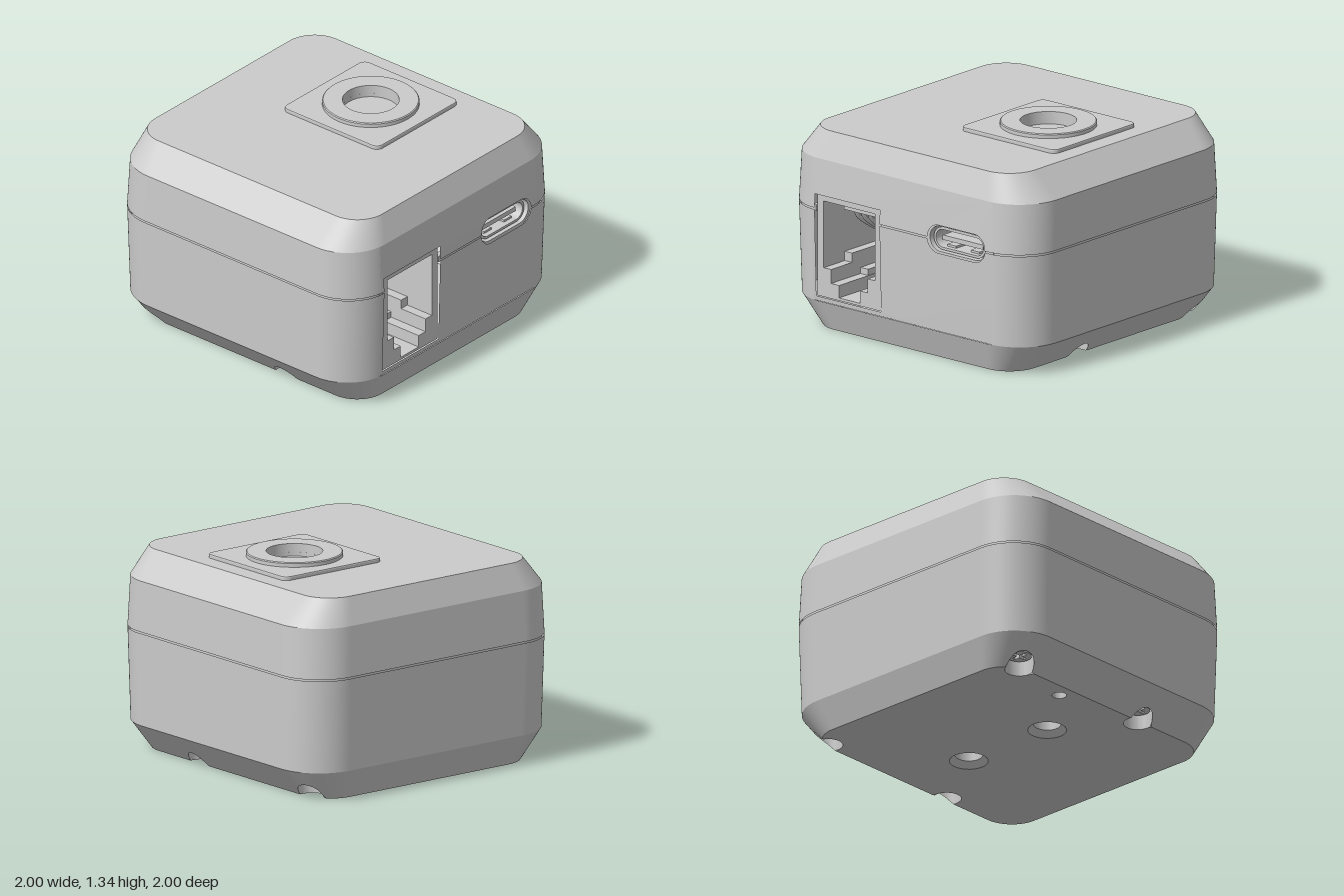
import * as THREE from 'three';
import { toCreasedNormals } from 'three/addons/utils/BufferGeometryUtils.js';

const mat = new THREE.MeshStandardMaterial({ color: 0xcccccc, side: THREE.DoubleSide });
const V2 = (x, y) => new THREE.Vector2(x, y);

// Case cross-sections: height, half width, half depth, corner radius
const SECTIONS = [
  [0, 0.91, 0.83, 0.2], [0.19, 0.983, 0.99, 0.3], [0.78, 1, 1, 0.3],
  [0.79, 1, 1, 0.3], [1.11, 0.985, 0.99, 0.3], [1.28, 0.92, 0.84, 0.2],
];
const ARC = 24, EDGE = 120, SIDE = ARC + EDGE;

function section(y) {
  let i = 0;
  while (i < SECTIONS.length - 2 && y > SECTIONS[i + 1][0]) i++;
  const a = SECTIONS[i], b = SECTIONS[i + 1], t = (y - a[0]) / (b[0] - a[0]);
  return [1, 2, 3].map((k) => THREE.MathUtils.lerp(a[k], b[k], t));
}

// Rounded rectangle of points at height y, starting on +x and turning towards +z
function loop(y, inset = 0) {
  const [hx, hz, r] = section(y), pts = [];
  const corner = (q, i) => {
    const a = (q + i / ARC) * Math.PI / 2;
    const sx = q === 0 || q === 3 ? 1 : -1, sz = q < 2 ? 1 : -1;
    return new THREE.Vector3(sx * (hx - r) + (r - inset) * Math.cos(a), y, sz * (hz - r) + (r - inset) * Math.sin(a));
  };
  for (let q = 0; q < 4; q++) {
    for (let i = 0; i <= ARC; i++) pts.push(corner(q, i));
    const a = corner(q, ARC), b = corner((q + 1) % 4, 0);
    for (let i = 1; i < EDGE; i++) pts.push(a.clone().lerp(b, i / EDGE));
  }
  return pts;
}
// The same loop left open along the connector side
const openLoop = (y, inset) => loop(y, inset).slice(2, 3 * SIDE + ARC - 1);

function loft(lower, upper, closed) {
  const pos = [], n = lower.length;
  for (let i = 0; i < (closed ? n : n - 1); i++) {
    const j = (i + 1) % n;
    for (const p of [lower[i], upper[i], lower[j], lower[j], upper[i], upper[j]]) pos.push(p.x, p.y, p.z);
  }
  const g = new THREE.BufferGeometry();
  g.setAttribute('position', new THREE.Float32BufferAttribute(pos, 3));
  return toCreasedNormals(g, 0.35);
}

// Screw wells cut the front and back lower chamfers
const WELL_R = 0.09;
const WELLS = [[0.31, 1], [0.31, -1], [-0.76, 1], [-0.76, -1]].map(([x, s]) => ({ x, z: 0.805 * s, s }));
const wellAt = (p) => WELLS.find((w) => Math.hypot(p.x - w.x, p.z - w.z) < WELL_R);

function insideCase(x, y, z) {
  const [hx, hz, r] = section(y);
  const dx = Math.abs(x) - hx + r, dz = Math.abs(z) - hz + r;
  return Math.hypot(Math.max(dx, 0), Math.max(dz, 0)) <= r;
}
function bisect(test, lo, hi) {
  for (let i = 0; i < 20; i++) {
    const m = (lo + hi) / 2;
    if (test(m)) hi = m; else lo = m;
  }
  return hi;
}

function roundRect(hw, hh, r, cx = 0, cy = 0, Type = THREE.Shape) {
  const s = new Type();
  s.absarc(cx + hw - r, cy + hh - r, r, 0, Math.PI / 2);
  s.absarc(cx - hw + r, cy + hh - r, r, Math.PI / 2, Math.PI);
  s.absarc(cx - hw + r, cy - hh + r, r, Math.PI, Math.PI * 1.5);
  s.absarc(cx + hw - r, cy - hh + r, r, Math.PI * 1.5, Math.PI * 2);
  s.closePath();
  return s;
}
const circlePath = (x, y, r) => new THREE.Path().absarc(x, y, r, 0, Math.PI * 2);

export function createModel() {
  const model = new THREE.Group();
  const add = (name, geo, x = 0, y = 0, z = 0, parent = model) => {
    const m = new THREE.Mesh(geo, mat);
    m.name = name;
    m.position.set(x, y, z);
    parent.add(m);
    return m;
  };
  const box = (name, w, h, d, x, y, z, parent) => add(name, new THREE.BoxGeometry(w, h, d), x, y, z, parent);
  // Extrudes a (-z, y) outline inwards from the connector side
  const sideExtrude = (name, shape, front, depth, parent) => add(name,
    new THREE.ExtrudeGeometry(shape, { depth, bevelEnabled: false, curveSegments: 12 }).rotateY(Math.PI / 2), front - depth, 0, 0, parent);

  // Case walls, seam and upper chamfer
  add('lowerWall', loft(openLoop(0.19), openLoop(0.78)));
  add('upperWall', loft(openLoop(0.79), openLoop(1.11)));
  add('seam', loft(openLoop(0.76, 0.015), openLoop(0.81, 0.015)));
  add('upperChamfer', loft(loop(1.11), loop(1.28), true));

  // Lower chamfer, trimmed where the wells break through
  const low = loop(0), high = loop(0.19);
  const trimmed = low.map((p, i) => {
    const w = wellAt(p);
    if (!w) return p;
    const t = bisect((k) => wellAt(p.clone().lerp(high[i], k)) !== w, 0, 1);
    return p.clone().lerp(high[i], t);
  });
  add('lowerChamfer', loft(trimmed, high, true));

  // Base with well notches and holes
  const base = new THREE.Shape(low.map((p) => {
    const w = wellAt(p);
    return V2(p.x, w ? w.z - w.s * Math.sqrt(WELL_R ** 2 - (p.x - w.x) ** 2) : p.z);
  }));
  const baseHoles = [[0, -0.33, 0.12, 0.085], [0, 0.33, 0.12, 0.085], [-0.32, 0.73, 0.045, 0.045]];
  for (const [x, z, rim, bore] of baseHoles) {
    base.holes.push(circlePath(x, z, rim));
    const profile = [V2(rim, 0), V2(bore, 0.04), V2(bore, 0.22), V2(0, 0.22)];
    add('baseHole', toCreasedNormals(new THREE.LatheGeometry(profile, 36), 0.4), x, 0, z);
  }
  add('base', new THREE.ShapeGeometry(base, 18).rotateX(Math.PI / 2));

  // Screws sunk in their wells
  const cross = new THREE.Path();
  for (let i = 0; i < 4; i++) {
    for (const [a, b] of [[0.05, -0.012], [0.05, 0.012], [0.012, 0.012]]) {
      const p = V2(a, b).rotateAround(V2(0, 0), i * Math.PI / 2);
      if (i === 0 && b < 0) cross.moveTo(p.x, p.y); else cross.lineTo(p.x, p.y);
    }
  }
  cross.closePath();
  const head = new THREE.Shape().absarc(0, 0, 0.076, 0, Math.PI * 2);
  head.holes.push(cross);
  for (const w of WELLS) {
    const rim = [], top = [];
    for (let i = 0; i < 48; i++) {
      const a = i / 48 * Math.PI * 2, x = w.x + WELL_R * Math.cos(a), z = w.z + WELL_R * Math.sin(a);
      rim.push(new THREE.Vector3(x, bisect((y) => insideCase(x, y, z), 0, 0.14), z));
      top.push(new THREE.Vector3(x, 0.14, z));
    }
    add('screwWell', loft(rim, top, true));
    add('screwWellEnd', new THREE.CircleGeometry(WELL_R, 32).rotateX(Math.PI / 2), w.x, 0.14, w.z);
    add('screwHead', new THREE.ExtrudeGeometry(head, { depth: 0.05, bevelEnabled: false, curveSegments: 18 })
      .rotateX(Math.PI / 2), w.x, 0.14, w.z);
  }

  // Top plate, raised pad and ring around a shallow bore
  const C = { z: -0.33, r: 0.175 };
  const plate = new THREE.Shape(loop(1.28).map((p) => V2(p.x, -p.z)));
  plate.holes.push(circlePath(0, -C.z, C.r));
  add('topPlate', new THREE.ShapeGeometry(plate, 24).rotateX(-Math.PI / 2), 0, 1.28, 0);
  const pad = roundRect(0.38, 0.38, 0.04);
  pad.holes.push(circlePath(0, 0, 0.2));
  add('pad', new THREE.ExtrudeGeometry(pad, { depth: 0.018, bevelSize: 0.008, bevelThickness: 0.008, bevelSegments: 2, curveSegments: 24 })
    .rotateX(-Math.PI / 2), 0, 1.28, C.z);
  const ring = [V2(0.3, 1.29), V2(0.3, 1.329), V2(0.294, 1.335), V2(C.r, 1.335), V2(C.r, 1.255), V2(0, 1.255)];
  add('topRing', toCreasedNormals(new THREE.LatheGeometry(ring, 64), 0.4), 0, 0, C.z);

  // Connector side, split at the seam, with both openings
  const usb = { u: 0.445, y: 0.79 };
  const sidePanel = (name, outerY, seamY, s, jackY) => {
    const pts = [V2(-0.74, outerY), V2(0.74, outerY), V2(0.74, seamY)];
    for (const [cu, from] of [[usb.u + 0.145, 0], [usb.u - 0.145, 1]]) {
      for (let i = 0; i <= 10; i++) {
        const a = (from + i / 10) * Math.PI / 2;
        const rise = Math.max(0.09 * Math.sin(a), Math.abs(seamY - usb.y));
        pts.push(V2(cu + 0.09 * Math.cos(a), usb.y + s * rise));
      }
    }
    pts.push(V2(-0.18, seamY), V2(-0.18, jackY), V2(-0.71, jackY), V2(-0.71, seamY), V2(-0.74, seamY));
    const g = new THREE.ShapeGeometry(new THREE.Shape(pts)), p = g.attributes.position;
    for (let i = 0; i < p.count; i++) {
      const u = p.getX(i), y = p.getY(i), [hx, hz, r] = section(y);
      const over = Math.max(0, Math.abs(u) - hz + r);
      p.setXYZ(i, hx - r + Math.sqrt(r * r - over * over), y, -u);
    }
    g.computeVertexNormals();
    add(name, g);
  };
  sidePanel('lowerSidePanel', 0.19, 0.78, -1, 0.22);
  sidePanel('upperSidePanel', 1.11, 0.79, 1, 0.88);
  for (const [z0, z1] of [[0.71, 0.74], [-0.21, 0.18], [-0.74, -0.68]])
    box('sideSeam', 0.04, 0.04, z1 - z0, 0.965, 0.785, (z0 + z1) / 2);

  // Modular jack: stepped opening, back wall, latch ledges and four contacts
  const jack = new THREE.Group();
  jack.name = 'jack';
  model.add(jack);
  const jz = 0.445, steps = [[0.21, 0.84], [0.21, 0.41], [0.15, 0.41], [0.15, 0.32], [0.085, 0.32], [0.085, 0.24]];
  const frame = roundRect(0.262, 0.327, 0.008, -jz, 0.55);
  frame.holes.push(new THREE.Path([
    ...steps.map(([d, y]) => V2(-jz - d, y)),
    ...steps.slice().reverse().map(([d, y]) => V2(-jz + d, y)),
  ]));
  sideExtrude('jackFrame', frame, 0.978, 0.6, jack);
  box('jackBack', 0.02, 0.66, 0.52, 0.37, 0.55, jz, jack);
  box('contactBlock', 0.45, 0.07, 0.3, 0.63, 0.805, jz, jack);
  for (const s of [-1, 1]) {
    box('jackLedge', 0.4, 0.06, 0.06, 0.58, 0.44, jz + s * 0.18, jack);
    box('latchStop', 0.3, 0.04, 0.06, 0.55, 0.34, jz + s * 0.12, jack);
  }
  for (let i = 0; i < 4; i++) {
    const z = jz + (i - 1.5) * 0.055;
    const path = new THREE.CatmullRomCurve3([[0.82, 0.77], [0.8, 0.73], [0.6, 0.6], [0.4, 0.51]]
      .map(([x, y]) => new THREE.Vector3(x, y, z)));
    add('contact', new THREE.TubeGeometry(path, 16, 0.014, 8), 0, 0, 0, jack);
  }

  // Power port: opening lining, metal shell, tongue and springs
  const port = new THREE.Group();
  port.name = 'powerPort';
  model.add(port);
  const tube = (name, hw, hh, t, front, depth) => {
    const s = roundRect(hw, hh, hh, usb.u, usb.y);
    s.holes.push(roundRect(hw - t, hh - t, hh - t, usb.u, usb.y, THREE.Path));
    sideExtrude(name, s, front, depth, port);
  };
  tube('portLining', 0.25, 0.105, 0.024, 0.984, 0.2);
  tube('portShell', 0.21, 0.073, 0.016, 0.965, 0.3);
  box('portBack', 0.02, 0.2, 0.5, 0.7, usb.y, -usb.u, port);
  box('portTongue', 0.23, 0.03, 0.33, 0.82, usb.y - 0.005, -usb.u, port);
  for (const s of [-1, 1])
    for (const v of [-1, 1])
      box('portSpring', 0.16, 0.014, 0.07, 0.85, usb.y + v * 0.05, -usb.u + s * 0.095, port);

  return model;
}
